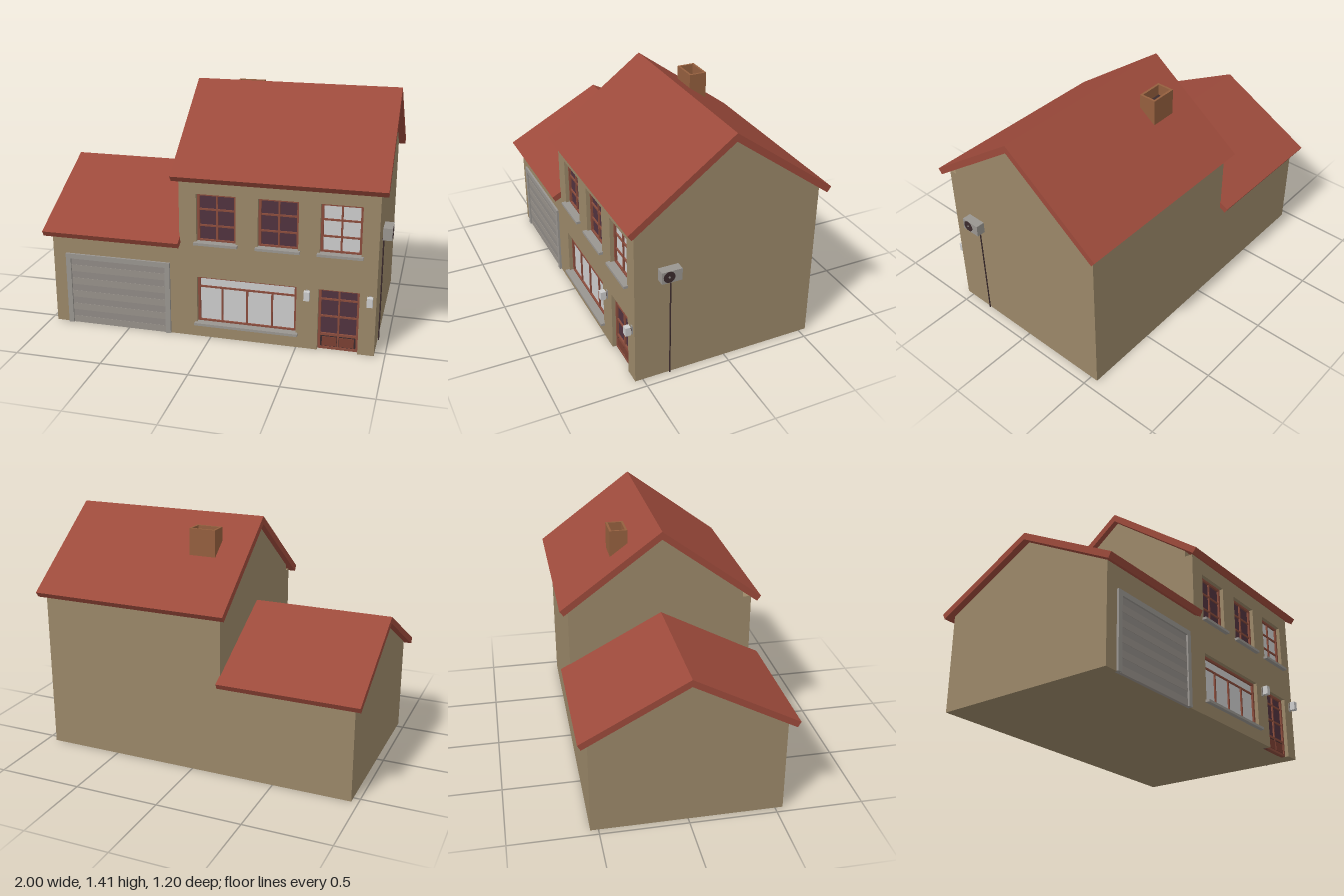
import * as THREE from 'three';

const mat = (color) => new THREE.MeshStandardMaterial({ color, flatShading: true });
const M = {
  wall: mat(0x9a8768), roof: mat(0x9c4a3b), frame: mat(0x8a4c3c), darkGlass: mat(0x50323e),
  lightGlass: mat(0xcccccc), grey: mat(0x999590), slat: mat(0x8f8a85), slatAlt: mat(0x97918a),
  brick: mat(0x945f3e), dark: mat(0x3a2a2c), panel: mat(0x7a3f32),
};
const FRONT = 0.545;  // outer face of the front wall
const INNER = 0.495;  // back of the openings

function add(parent, name, geometry, material) {
  const mesh = new THREE.Mesh(geometry, material);
  mesh.name = name;
  parent.add(mesh);
  return mesh;
}

// Box given by its limits on each axis
function box(parent, name, material, x0, x1, y0, y1, z0, z1) {
  const mesh = add(parent, name, new THREE.BoxGeometry(x1 - x0, y1 - y0, z1 - z0), material);
  mesh.position.set((x0 + x1) / 2, (y0 + y1) / 2, (z0 + z1) / 2);
  return mesh;
}

// Profile of [z, y] points extruded along x
function prism(parent, name, material, points, x0, x1) {
  const shape = new THREE.Shape(points.map(([z, y]) => new THREE.Vector2(-z, y)));
  const geo = new THREE.ExtrudeGeometry(shape, { depth: x1 - x0, bevelEnabled: false });
  geo.rotateY(Math.PI / 2).translate(x0, 0, 0);
  return add(parent, name, geo, material);
}

function rectPath(x0, x1, y0, y1) {
  return new THREE.Path([[x0, y0], [x1, y0], [x1, y1], [x0, y1]].map((p) => new THREE.Vector2(...p)));
}

// Gabled roof with square-cut eaves
function roof(parent, name, x0, x1, top, under, outer, lower) {
  const [z0, y0] = outer, [z1, y1] = lower;
  prism(parent, name, M.roof, [[z0, y0], [0, top], [-z0, y0], [-z1, y1], [0, under], [z1, y1]], x0, x1);
}

// Frame bars and glass set back inside an opening
function glazing(parent, name, glass, [x0, x1, y0, y1], uprights, rails) {
  const g = new THREE.Group();
  g.name = name;
  parent.add(g);
  const t = 0.014, h = 0.005, zf = 0.522;
  box(g, 'glass', glass, x0, x1, y0, y1, INNER, 0.51);
  box(g, 'leftJamb', M.frame, x1 - t, x1, y0, y1, INNER, zf);
  box(g, 'rightJamb', M.frame, x0, x0 + t, y0, y1, INNER, zf);
  box(g, 'frameTop', M.frame, x0 + t, x1 - t, y1 - t, y1, INNER, zf);
  box(g, 'frameBottom', M.frame, x0 + t, x1 - t, y0, y0 + t, INNER, zf);
  for (const [x, yTop] of uprights) box(g, 'mullion', M.frame, x - h, x + h, y0 + t, yTop - t, INNER, 0.519);
  for (const y of rails) box(g, 'rail', M.frame, x0 + t, x1 - t, y - h, y + h, INNER, 0.518);
  return g;
}

function sill(parent, x0, x1, y) {
  box(parent, 'windowSill', M.grey, x0 - 0.012, x1 + 0.012, y - 0.01, y + 0.005, INNER, 0.57);
}

export function createModel() {
  const house = new THREE.Group();
  house.name = 'house';

  // Main block and garage block
  prism(house, 'mainWalls', M.wall, [[INNER, 0], [INNER, 0.995], [0, 1.363], [-FRONT, 0.96], [-FRONT, 0]], -0.18, 0.94);
  prism(house, 'garageWalls', M.wall,
    [[FRONT, 0], [FRONT, 0.568], [0, 0.859], [-FRONT, 0.568], [-FRONT, 0]], -0.96, -0.18);

  // Front wall with window openings and a door notch
  const windows = [-0.08, 0.273, 0.62].map((x) => [x, x + 0.228, 0.58, 0.866]);
  const bay = [-0.08, 0.497, 0.085, 0.37];
  const door = [0.62, 0.848, 0, 0.37];
  const front = new THREE.Shape([[-0.18, 0], [door[0], 0], [door[0], door[3]], [door[1], door[3]],
    [door[1], 0], [0.94, 0], [0.94, 0.957], [-0.18, 0.957]].map((p) => new THREE.Vector2(...p)));
  front.holes = [...windows, bay].map((r) => rectPath(...r));
  add(house, 'frontWall', new THREE.ExtrudeGeometry(front, { depth: FRONT - INNER, bevelEnabled: false })
    .translate(0, 0, INNER), M.wall);

  // Roofs
  roof(house, 'mainRoof', -0.215, 0.98, 1.41, 1.363, [0.595, 0.97], [0.572, 0.939]);
  roof(house, 'garageRoof', -1, -0.175, 0.9, 0.859, [0.6, 0.58], [0.582, 0.548]);

  // Windows
  windows.forEach((r, i) => {
    const mid = (r[0] + r[1]) / 2, step = (r[3] - r[2]) / 3;
    glazing(house, 'upperWindow', i < 2 ? M.darkGlass : M.lightGlass, r, [[mid, r[3]]], [r[2] + step, r[3] - step]);
    sill(house, r[0], r[1], r[2]);
  });
  glazing(house, 'groundWindow', M.lightGlass, bay, [0.063, 0.2085, 0.354].map((x) => [x, 0.314]), [0.303]);
  sill(house, bay[0], bay[1], bay[2]);

  // Front door with two lower panels
  const doorMid = (door[0] + door[1]) / 2;
  const doorGroup = glazing(house, 'frontDoor', M.darkGlass, door, [[doorMid, 0.37]], [0.303, 0.2]);
  box(doorGroup, 'doorBase', M.dark, 0.634, 0.834, 0.01, 0.09, INNER, 0.516);
  box(doorGroup, 'doorRail', M.frame, 0.634, 0.834, 0.082, 0.096, INNER, 0.521);
  for (const x of [0.685, 0.783]) box(doorGroup, 'doorPanel', M.panel, x - 0.041, x + 0.041, 0.018, 0.074, INNER, 0.521);

  // Garage door: surround and horizontal slats
  const surround = new THREE.Shape([[-0.88, 0], [-0.85, 0], [-0.85, 0.41], [-0.27, 0.41], [-0.27, 0],
    [-0.24, 0], [-0.24, 0.44], [-0.88, 0.44]].map((p) => new THREE.Vector2(...p)));
  add(house, 'garageSurround', new THREE.ExtrudeGeometry(surround, { depth: 0.028, bevelEnabled: false })
    .translate(0, 0, 0.53), M.grey);
  const slats = 10, slatHeight = 0.41 / slats;
  for (let i = 0; i < slats; i++) {
    box(house, 'garageSlat', i % 2 ? M.slat : M.slatAlt, -0.85, -0.27, i * slatHeight, (i + 1) * slatHeight,
      0.53, i % 2 ? 0.547 : 0.549);
  }

  // Wall lamps
  for (const x of [0.56, 0.907]) {
    box(house, 'lampArm', M.grey, x - 0.008, x + 0.008, 0.305, 0.36, FRONT, 0.551);
    box(house, 'lampBracket', M.dark, x - 0.005, x + 0.005, 0.328, 0.342, 0.55, 0.562);
    box(house, 'wallLamp', M.lightGlass, x - 0.016, x + 0.016, 0.31, 0.362, 0.56, 0.59);
  }

  // Chimney with an open top
  const stack = new THREE.Shape(rectPath(-0.03, 0.13, 0.168, 0.273).getPoints());
  stack.holes.push(rectPath(-0.017, 0.117, 0.181, 0.26));
  const chimney = new THREE.ExtrudeGeometry(stack, { depth: 0.265, bevelEnabled: false });
  add(house, 'chimney', chimney.rotateX(-Math.PI / 2).translate(0, 1.1, 0), M.brick);
  box(house, 'chimneyFlue', M.dark, -0.02, 0.12, 1.1, 1.3, -0.262, -0.179);

  // Air conditioner on the side wall, with fan, feet and pipe
  const cooler = new THREE.Group();
  cooler.name = 'airConditioner';
  house.add(cooler);
  box(cooler, 'casing', M.grey, 0.945, 0.997, 0.64, 0.71, 0.297, 0.414);
  const fan = add(cooler, 'fanGrille', new THREE.CylinderGeometry(0.033, 0.033, 0.004, 24), M.dark);
  fan.rotation.z = Math.PI / 2;
  fan.position.set(0.997, 0.676, 0.372);
  const hub = add(cooler, 'fanHub', new THREE.CylinderGeometry(0.006, 0.006, 0.004, 12), M.grey);
  hub.rotation.z = Math.PI / 2;
  hub.position.set(0.998, 0.676, 0.372);
  for (const z of [0.325, 0.388]) box(cooler, 'bracket', M.dark, 0.94, 0.985, 0.635, 0.64, z - 0.004, z + 0.004);
  const pipe = add(cooler, 'pipe', new THREE.CylinderGeometry(0.004, 0.004, 0.645, 10), M.dark);
  pipe.position.set(0.946, 0.3225, 0.34);

  return house;
}
